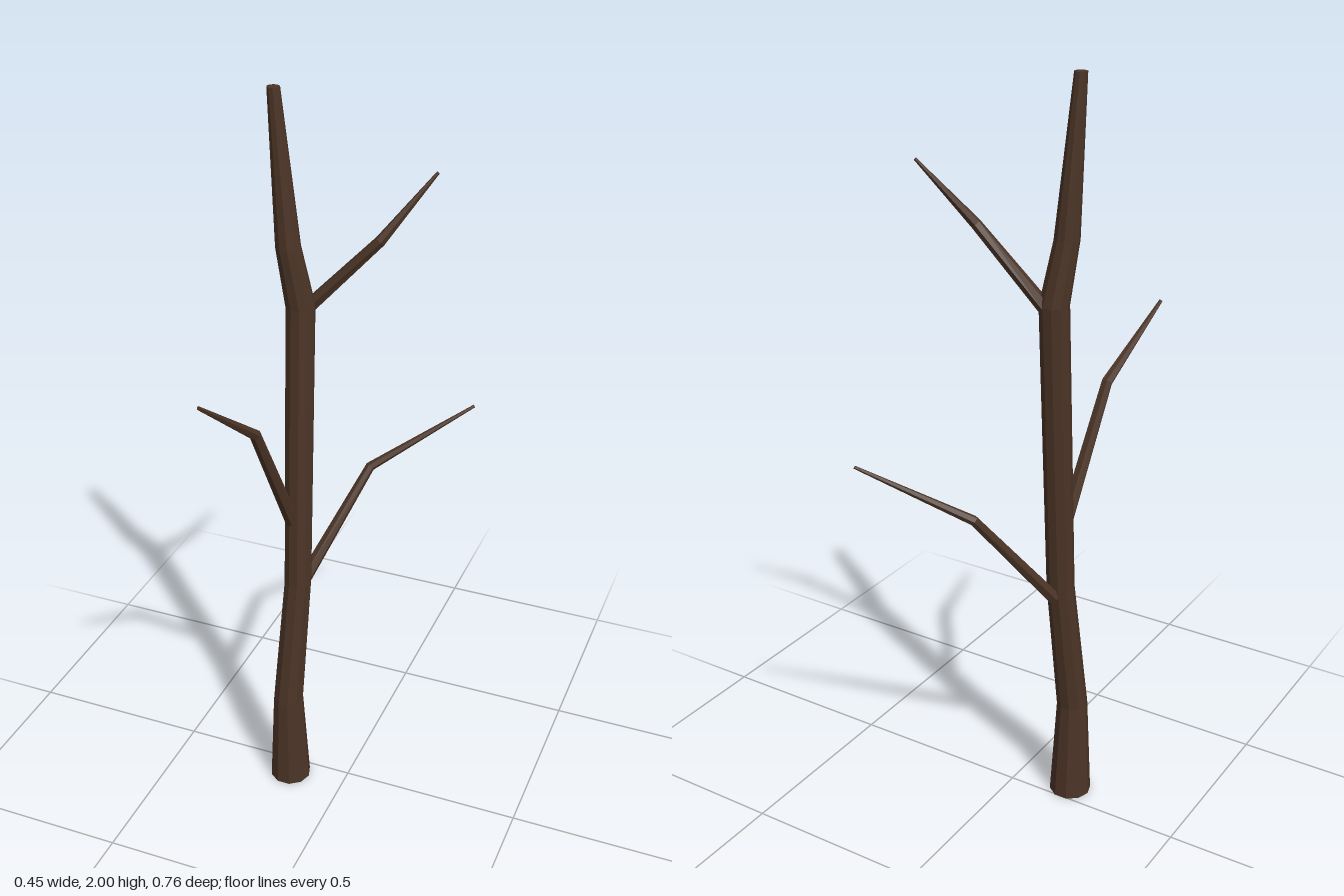
import * as THREE from 'three';

const V = (x, y, z) => new THREE.Vector3(x, y, z);

// Faceted, capped limb through stations [x, y, z, radius].
// Level rings suit the upright trunk; otherwise rings lie across the path.
function limb(stations, sides, level) {
  const pts = stations.map(([x, y, z]) => V(x, y, z));
  const last = pts.length - 1;
  const rings = pts.map((p, i) => {
    const t = V(0, 1, 0);
    if (!level) {
      t.set(0, 0, 0);
      if (i > 0) t.add(p.clone().sub(pts[i - 1]).normalize());
      if (i < last) t.add(pts[i + 1].clone().sub(p).normalize());
      t.normalize();
    }
    const v = level ? V(1, 0, 0) : V(0, 1, 0).cross(t).normalize();
    const u = v.clone().cross(t);
    return Array.from({ length: sides }, (_, k) => {
      const a = ((k + 0.5) / sides) * Math.PI * 2;
      const r = stations[i][3];
      return p.clone().addScaledVector(u, r * Math.cos(a)).addScaledVector(v, r * Math.sin(a));
    });
  });

  const tris = [];
  for (let k = 0; k < sides; k++) {
    const n = (k + 1) % sides;
    for (let i = 0; i < last; i++) {
      const a = rings[i], b = rings[i + 1];
      tris.push(a[k], a[n], b[n], a[k], b[n], b[k]);
    }
    tris.push(pts[0], rings[0][n], rings[0][k]);
    tris.push(pts[last], rings[last][k], rings[last][n]);
  }
  const g = new THREE.BufferGeometry().setFromPoints(tris);
  g.computeVertexNormals();
  return g;
}

export function createModel() {
  const group = new THREE.Group();
  group.name = 'bareTree';
  const bark = new THREE.MeshStandardMaterial({ color: 0x4b3426 });
  bark.name = 'bark';

  const add = (name, stations, sides, level = false) => {
    const mesh = new THREE.Mesh(limb(stations, sides, level), bark);
    mesh.name = name;
    group.add(mesh);
  };

  // Gently crooked trunk, cut flat at the top
  add('trunk', [
    [-0.159, 0, 0.051, 0.057],
    [-0.158, 0.28, 0.056, 0.042],
    [-0.14, 0.66, 0.014, 0.037],
    [-0.141, 1.45, -0.038, 0.038],
    [-0.163, 1.61, -0.02, 0.032],
    [-0.187, 2, -0.01, 0.016],
  ], 10, true);

  // Side branches, each with one bend
  add('lowerBackBranch', [
    [-0.137, 0.64, -0.018, 0.019],
    [-0.02, 0.918, -0.215, 0.013],
    [0.218, 1.07, -0.378, 0.004],
  ], 6);
  add('middleFrontBranch', [
    [-0.15, 0.85, 0.02, 0.019],
    [-0.176, 1.19, 0.175, 0.015],
    [-0.22, 1.357, 0.377, 0.005],
  ], 6);
  add('upperLeftBranch', [
    [-0.135, 1.435, -0.053, 0.019],
    [0.05, 1.632, -0.084, 0.014],
    [0.163, 1.79, -0.167, 0.004],
  ], 6);

  return group;
}
